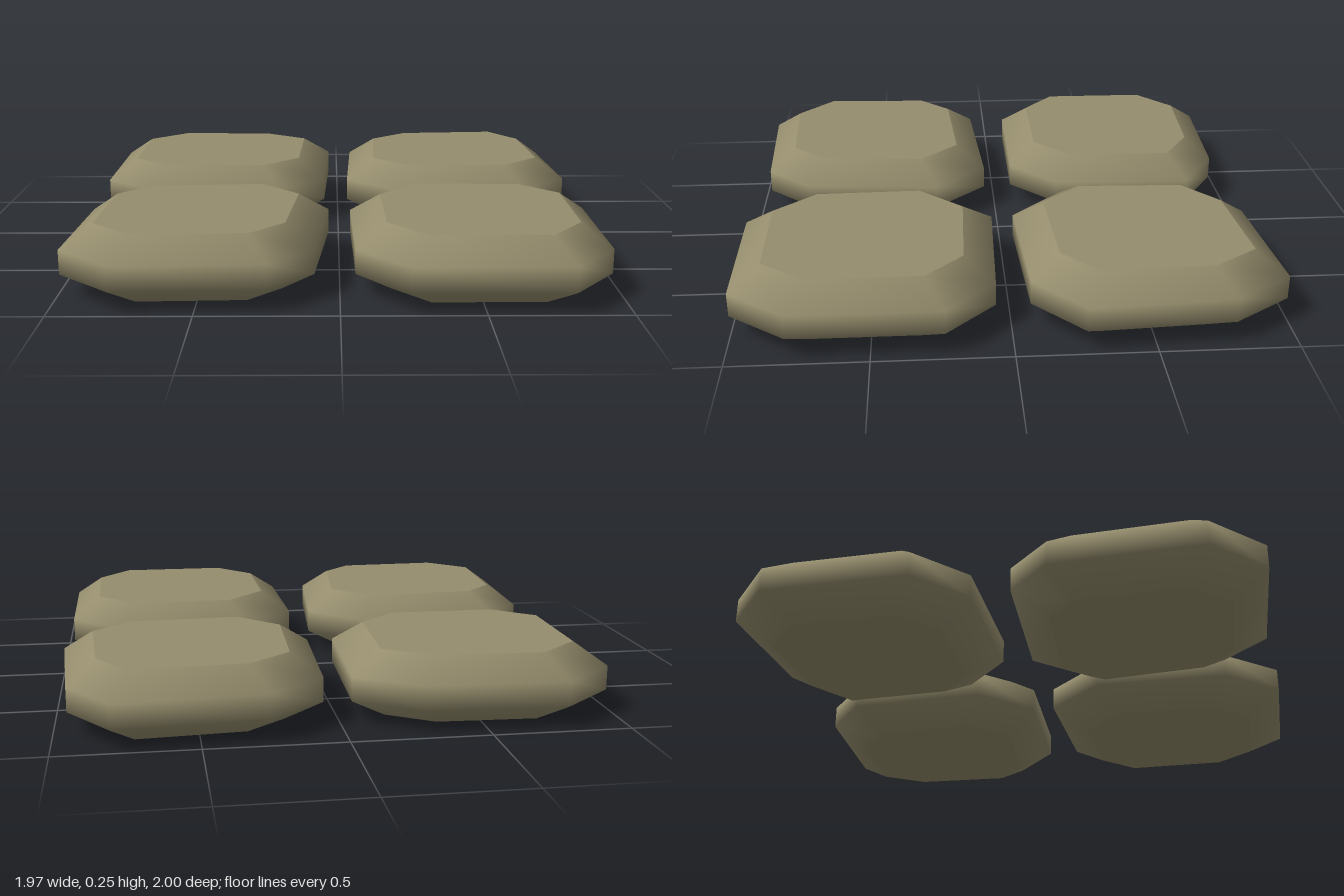
import * as THREE from 'three';

// Outline corners (x, z), running clockwise seen from above
const stones = [
  { name: 'backRightStone', centre: [-0.52, -0.52], outline: [[-0.78, -0.97], [-0.27, -0.95], [-0.04, -0.8], [-0.06, -0.25], [-0.25, -0.07], [-0.79, -0.07], [-0.99, -0.24], [-0.985, -0.79]] },
  { name: 'backLeftStone', centre: [0.52, -0.52], outline: [[0.26, -0.96], [0.8, -1], [0.95, -0.78], [0.98, -0.25], [0.78, -0.07], [0.24, -0.045], [0.04, -0.25], [0.06, -0.79]] },
  { name: 'frontRightStone', centre: [-0.52, 0.52], outline: [[-0.81, 0.08], [-0.235, 0.045], [-0.04, 0.25], [-0.09, 0.79], [-0.25, 0.96], [-0.79, 0.98], [-0.99, 0.79], [-0.965, 0.24]] },
  { name: 'frontLeftStone', centre: [0.52, 0.52], outline: [[0.25, 0.04], [0.78, 0.055], [0.965, 0.24], [0.965, 0.79], [0.8, 1], [0.24, 1], [0.055, 0.79], [0.045, 0.26]] },
];

// Height and outline scale of each ring, bottom to top
const rings = [[0, 0.72], [0.08, 1], [0.17, 1], [0.25, 0.76]];

function makeGeometry(points, index) {
  const geometry = new THREE.BufferGeometry();
  geometry.setAttribute('position', new THREE.Float32BufferAttribute(points.flat(), 3));
  geometry.setIndex(index);
  geometry.computeVertexNormals();
  return geometry;
}

function ringPoints({ centre: [cx, cz], outline }, [y, s]) {
  return outline.map(([x, z]) => [cx + (x - cx) * s, y, cz + (z - cz) * s]);
}

// Smoothly shaded band through all rings
function sideGeometry(stone) {
  const n = stone.outline.length;
  const points = rings.flatMap((ring) => ringPoints(stone, ring));
  const index = [];
  for (let r = 0; r < rings.length - 1; r++) {
    for (let i = 0; i < n; i++) {
      const a = r * n + i, b = r * n + (i + 1) % n;
      index.push(a, a + n, b + n, a, b + n, b);
    }
  }
  return makeGeometry(points, index);
}

// Flat face closing one ring
function capGeometry(stone, ring, up) {
  const index = [];
  for (let i = 1; i < stone.outline.length - 1; i++) {
    index.push(0, ...(up ? [i + 1, i] : [i, i + 1]));
  }
  return makeGeometry(ringPoints(stone, ring), index);
}

export function createModel() {
  const model = new THREE.Group();
  model.name = 'pavingStones';
  const material = new THREE.MeshStandardMaterial({ color: 0x958d6d });
  material.name = 'stone';

  for (const stone of stones) {
    const group = new THREE.Group();
    group.name = stone.name;
    const parts = {
      bevelledSide: sideGeometry(stone),
      topFace: capGeometry(stone, rings[3], true),
      bottomFace: capGeometry(stone, rings[0], false),
    };
    for (const [name, geometry] of Object.entries(parts)) {
      const mesh = new THREE.Mesh(geometry, material);
      mesh.name = name;
      group.add(mesh);
    }
    model.add(group);
  }
  return model;
}
